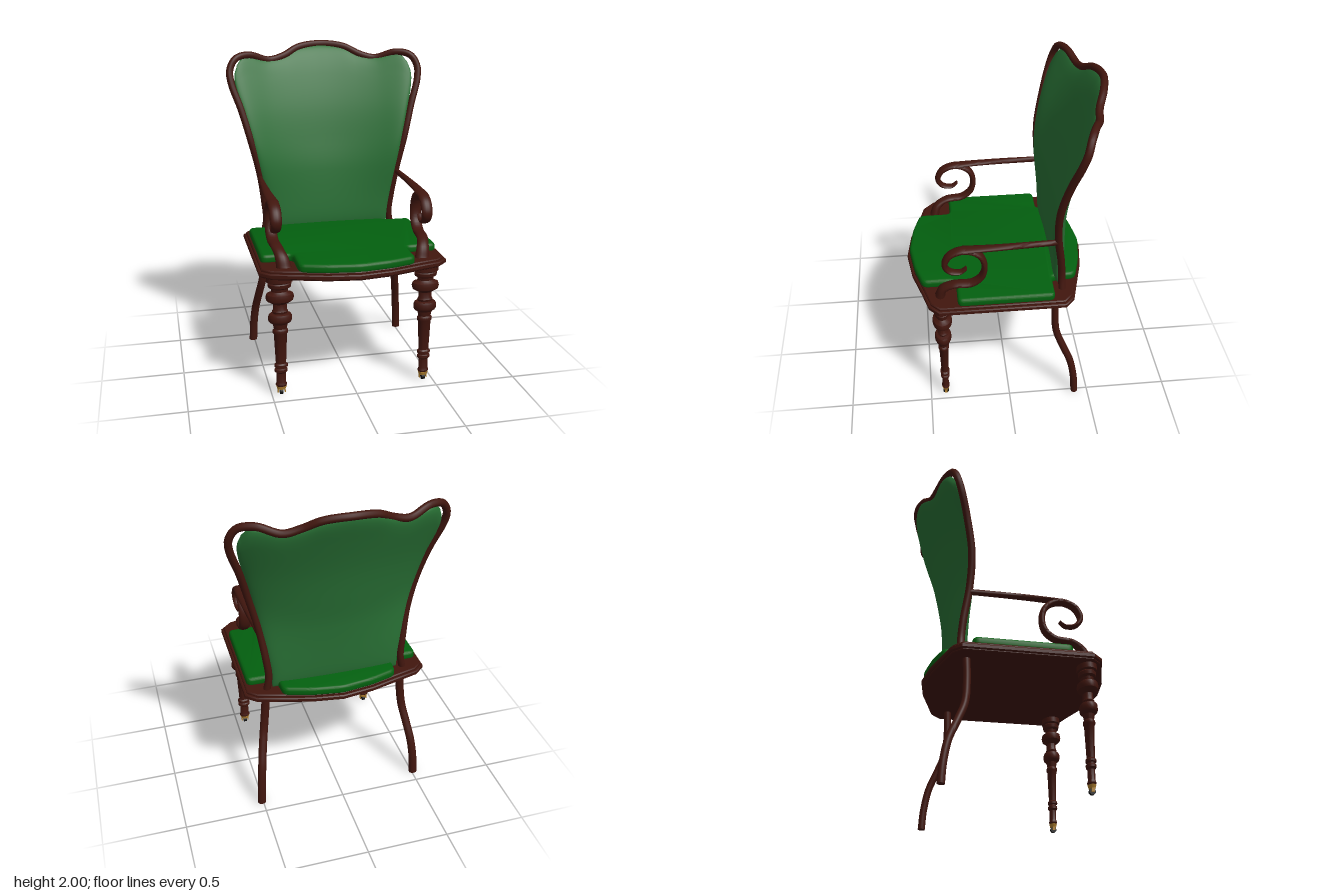
import * as THREE from 'three';
import { toCreasedNormals } from 'three/addons/utils/BufferGeometryUtils.js';
import { ParametricGeometry } from 'three/addons/geometries/ParametricGeometry.js';

const mat = (color) => new THREE.MeshStandardMaterial({ color });
const v3 = (p) => new THREE.Vector3(...p);

// Smooth interpolation through [position, value] pairs
function interp(pts) {
  const slope = (i) => {
    const a = pts[Math.max(i - 1, 0)], b = pts[Math.min(i + 1, pts.length - 1)];
    return (b[1] - a[1]) / (b[0] - a[0]);
  };
  return (x) => {
    let i = 0;
    while (i < pts.length - 2 && x > pts[i + 1][0]) i++;
    const [x0, y0] = pts[i], [x1, y1] = pts[i + 1], h = x1 - x0;
    const t = THREE.MathUtils.clamp((x - x0) / h, 0, 1), t2 = t * t, t3 = t2 * t;
    return y0 * (2 * t3 - 3 * t2 + 1) + y1 * (3 * t2 - 2 * t3)
      + h * (slope(i) * (t3 - 2 * t2 + t) + slope(i + 1) * (t3 - t2));
  };
}

// Elliptical sweep along a path lying roughly in a side plane; size(t) gives [half width in x, half thickness]
function sweep(points, size, segs = 48, sides = 14) {
  const curve = new THREE.CatmullRomCurve3(points.map(v3));
  const pos = [], index = [], X = new THREE.Vector3(1, 0, 0);
  for (let i = -1; i <= segs + 1; i++) {
    const t = THREE.MathUtils.clamp(i / segs, 0, 1);
    const k = i < 0 || i > segs ? 0 : 1;
    const c = curve.getPointAt(t), N = curve.getTangentAt(t).cross(X).normalize();
    const [w, h] = size(t);
    for (let j = 0; j < sides; j++) {
      const a = (j / sides) * Math.PI * 2;
      const p = c.clone().addScaledVector(X, k * w * Math.cos(a)).addScaledVector(N, k * h * Math.sin(a));
      pos.push(p.x, p.y, p.z);
    }
  }
  for (let i = 0; i < segs + 2; i++) {
    for (let j = 0; j < sides; j++) {
      const a = i * sides + j, b = i * sides + (j + 1) % sides;
      index.push(a, b, a + sides, b, b + sides, a + sides);
    }
  }
  const g = new THREE.BufferGeometry();
  g.setAttribute('position', new THREE.Float32BufferAttribute(pos, 3));
  g.setIndex(index);
  return toCreasedNormals(g, 0.9);
}

// Horizontal slab from a half outline of [x, z] running back to front
function slab(half, y0, y1, bevel, inset = 0, steps = 1, round = 0) {
  const left = half.filter((p) => p[0] > 0).reverse().map(([x, z]) => [-x, z]);
  const pts = [...half, ...left].map(([x, z]) => new THREE.Vector2(x, -z)).reverse();
  const shape = new THREE.Shape();
  const n = pts.length;
  pts.forEach((p, i) => {
    const toward = (q) => p.clone().add(q.clone().sub(p).setLength(Math.min(round, q.distanceTo(p) / 2)));
    const a = toward(pts[(i + n - 1) % n]), b = toward(pts[(i + 1) % n]);
    if (i === 0) shape.moveTo(a.x, a.y); else shape.lineTo(a.x, a.y);
    if (round) shape.quadraticCurveTo(p.x, p.y, b.x, b.y);
  });
  shape.closePath();
  const g = new THREE.ExtrudeGeometry(shape, {
    depth: y1 - y0 - 2 * bevel, bevelEnabled: true, bevelThickness: bevel, bevelSize: bevel,
    bevelOffset: -bevel - inset, bevelSegments: steps, curveSegments: 5,
  });
  g.rotateX(-Math.PI / 2).translate(0, y0 + bevel, 0);
  return toCreasedNormals(g, 0.6);
}

export function createModel() {
  const model = new THREE.Group();
  const wood = mat(0x41160e), seatCloth = mat(0x03600f), backCloth = mat(0x286f34);
  const brass = mat(0xb08030), black = mat(0x111111);
  const add = (name, geo, material, parent = model) => {
    const m = new THREE.Mesh(geo, material);
    m.name = name;
    parent.add(m);
    return m;
  };

  // Seat frame and cushion
  const outline = [[0, -0.497], [0.19, -0.47], [0.37, -0.42], [0.5, -0.385], [0.562, -0.328],
    [0.562, 0.422], [0.502, 0.48], [0.37, 0.516], [0.19, 0.571], [0, 0.597]];
  add('seatFrameBottom', slab(outline, 0.75, 0.765, 0.004, 0.012), wood);
  add('seatFrameRail', slab(outline, 0.758, 0.787, 0.006), wood);
  add('seatFrameTop', slab(outline, 0.78, 0.802, 0.006, 0.015), wood);
  const pad = [[0, -0.486], [0.19, -0.458], [0.35, -0.41], [0.36, -0.265], [0.535, -0.265],
    [0.535, 0.31], [0.345, 0.31], [0.345, 0.51], [0.19, 0.556], [0, 0.582]];
  add('seatCushion', slab(pad, 0.79, 0.847, 0.02, 0, 5, 0.035), seatCloth);

  // Back frame: one rail running up, over the crest and down again
  const rail = [[0.43, 0.78, -0.32], [0.412, 0.88, -0.318], [0.422, 1.0, -0.308], [0.452, 1.2, -0.28],
    [0.5, 1.4, -0.277], [0.553, 1.6, -0.315], [0.605, 1.76, -0.36], [0.61, 1.84, -0.385],
    [0.57, 1.908, -0.408], [0.48, 1.926, -0.445], [0.35, 1.888, -0.49], [0.25, 1.912, -0.508],
    [0.15, 1.96, -0.546], [0, 1.978, -0.573]];
  const loop = [...rail, ...rail.slice(0, -1).reverse().map(([x, y, z]) => [-x, y, z])];
  add('backFrame', new THREE.TubeGeometry(new THREE.CatmullRomCurve3(loop.map(v3)), 160, 0.022, 12), wood);

  // Upholstered back: curved padded panel, fuller toward the bottom of its front
  const halfWidth = interp([[0, 0.39], [0.12, 0.4], [0.35, 0.445], [0.7, 0.53], [0.9, 0.574], [0.96, 0.572], [1, 0.555]]);
  const topEdge = interp([[0, 1.972], [0.15, 1.955], [0.25, 1.91], [0.35, 1.89], [0.45, 1.912], [0.52, 1.905], [0.56, 1.86]]);
  const middleZ = interp([[0.8, -0.32], [1.2, -0.35], [1.4, -0.387], [1.6, -0.433], [1.8, -0.498], [1.98, -0.57]]);
  const edgeZ = interp([[0.8, -0.31], [1, -0.3], [1.25, -0.272], [1.4, -0.277], [1.6, -0.315], [1.9, -0.41]]);
  const panel = (side) => new ParametricGeometry((u, v, out) => {
    const a = side * Math.sin((u - 0.5) * Math.PI), b = Math.sin((v - 0.5) * Math.PI), h = (b + 1) / 2;
    const x = a * halfWidth(h), y = 0.8 + h * (topEdge(Math.abs(x)) - 0.8);
    const depth = side > 0 ? 0.046 - 0.016 * h : 0.03;
    const puff = depth * Math.sqrt(Math.max(0, (1 - a ** 12) * (1 - b ** 12)));
    out.set(x - 0.009 * h, y, THREE.MathUtils.lerp(middleZ(y), edgeZ(y), a * a) + side * puff);
  }, 48, 48);
  add('backPanelFront', panel(1), backCloth);
  add('backPanelRear', panel(-1), backCloth);

  // Turned front leg profile: radius, height
  const turned = [[0, 0.05], [0.019, 0.05], [0.025, 0.065], [0.02, 0.08], [0.02, 0.14], [0.028, 0.15], [0.028, 0.165],
    [0.021, 0.17], [0.021, 0.178], [0.029, 0.182], [0.029, 0.195], [0.022, 0.203], [0.028, 0.39], [0.033, 0.4],
    [0.033, 0.415], [0.027, 0.425], [0.032, 0.455], [0.046, 0.468], [0.05, 0.48], [0.05, 0.505], [0.045, 0.517],
    [0.03, 0.522], [0.034, 0.535], [0.029, 0.545], [0.029, 0.58], [0.044, 0.592], [0.056, 0.603],
    [0.06, 0.622], [0.056, 0.642], [0.04, 0.65], [0.034, 0.658], [0.036, 0.675], [0.048, 0.685],
    [0.05, 0.705], [0.046, 0.711], [0.056, 0.718], [0.056, 0.755]];
  const legGeo = toCreasedNormals(new THREE.LatheGeometry(turned.map((p) => new THREE.Vector2(...p)), 20), 0.6);
  const wheelGeo = new THREE.CylinderGeometry(0.018, 0.018, 0.02, 16).rotateZ(Math.PI / 2);

  for (const [s, side] of [[1, 'left'], [-1, 'right']]) {
    const at = (pts) => pts.map(([x, y, z]) => [s * x, y, z]);

    // Front leg with caster
    const leg = new THREE.Group();
    leg.name = side + 'FrontLeg';
    leg.position.set(s * 0.442, 0, 0.405);
    model.add(leg);
    add('turnedLeg', legGeo, wood, leg).scale.x = 1.4;
    add('casterCap', new THREE.CylinderGeometry(0.023, 0.018, 0.02, 14).translate(0, 0.044, 0), brass, leg).scale.x = 1.4;
    for (const k of [-1, 1]) {
      add('casterFork', new THREE.BoxGeometry(0.006, 0.03, 0.016).translate(k * 0.021, 0.028, 0), brass, leg);
    }
    add('casterWheel', wheelGeo, black, leg).position.y = 0.018;

    // Curved back leg
    add(side + 'BackLeg', sweep(at([[0.425, 0.77, -0.287], [0.435, 0.62, -0.283], [0.45, 0.48, -0.293], [0.47, 0.37, -0.333],
      [0.49, 0.25, -0.383], [0.503, 0.12, -0.409], [0.508, 0, -0.418]]), () => [0.026, 0.022], 30), wood);

    // Scrolled arm support, flaring at the foot
    add(side + 'ArmScroll', sweep(at([[0.414, 0.795, 0.41], [0.424, 0.855, 0.39], [0.44, 0.895, 0.33], [0.449, 0.908, 0.22],
      [0.451, 0.955, 0.162], [0.452, 1.03, 0.145], [0.452, 1.1, 0.165], [0.451, 1.138, 0.21], [0.451, 1.15, 0.275],
      [0.45, 1.118, 0.347], [0.45, 1.05, 0.376], [0.45, 1.003, 0.345], [0.45, 0.994, 0.285], [0.45, 1.02, 0.25]]),
    (t) => [0.035 + 0.01 * Math.max(0, 1 - t * 9) - 0.014 * Math.max(0, t * 5 - 4),
      0.018 + 0.012 * Math.max(0, 1 - t * 7) - 0.011 * Math.max(0, t * 5 - 4)], 90), wood);

    // Arm rest, widening toward the front
    add(side + 'ArmRest', sweep(at([[0.452, 1.166, -0.28], [0.456, 1.162, -0.05], [0.456, 1.158, 0.12], [0.45, 1.154, 0.27]]),
      (t) => [0.014 + 0.021 * t, 0.019 - 0.006 * t], 24), wood);
  }
  return model;
}
